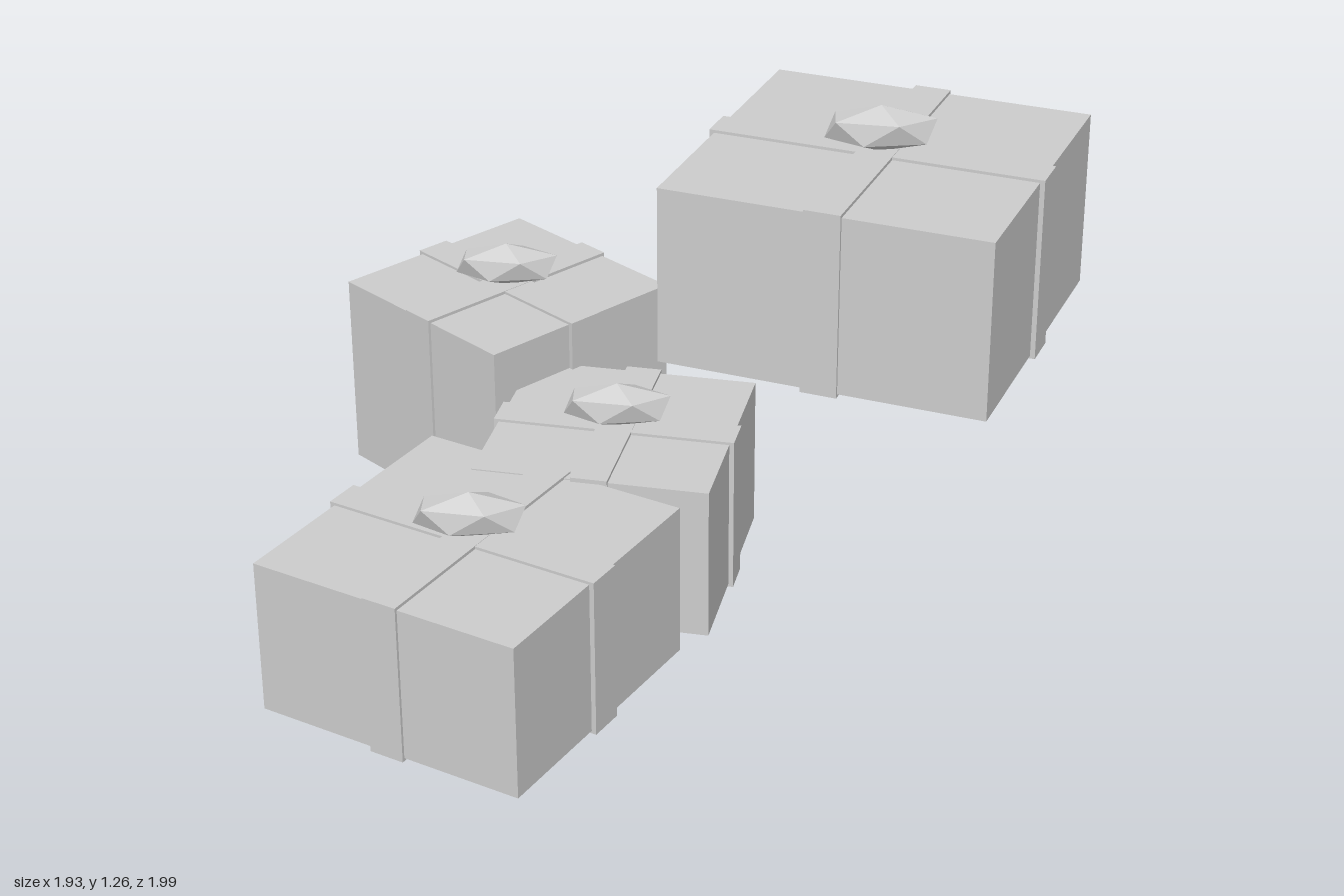
import * as THREE from 'three';

const gray = new THREE.MeshStandardMaterial({ color: 0xcccccc });
gray.name = 'light gray';

// Footprint centre, square size, bottom and top of the box, turn in degrees
const gifts = [
  { name: 'frontGift', x: -0.488, z: 0.511, size: 0.708, y0: 0.008, y1: 0.401, turn: 28.4 },
  { name: 'middleGift', x: -0.178, z: -0.036, size: 0.584, y0: 0.008, y1: 0.404, turn: 10.1 },
  { name: 'backGift', x: -0.497, z: -0.579, size: 0.591, y0: 0.01, y1: 0.528, turn: 44.4 },
  { name: 'raisedGift', x: 0.45, z: -0.048, size: 0.806, y0: 0.698, y1: 1.143, turn: 20 },
];

function addBox(parent, name, w, h, d) {
  const mesh = new THREE.Mesh(new THREE.BoxGeometry(w, h, d), gray);
  mesh.name = name;
  parent.add(mesh);
}

// Faceted bow: an icosahedron standing on one corner, stretched sideways
function makeBow() {
  const geometry = new THREE.IcosahedronGeometry(1, 0);
  geometry.rotateZ(-Math.atan2(1, (1 + Math.sqrt(5)) / 2));
  geometry.scale(0.148, 0.058, 0.067);
  geometry.computeVertexNormals();
  const bow = new THREE.Mesh(geometry, gray);
  bow.name = 'bow';
  return bow;
}

function makeGift({ name, x, z, size, y0, y1, turn }) {
  const gift = new THREE.Group();
  gift.name = name;
  gift.position.set(x, 0, z);

  // Box wrapped by two crossing ribbons
  const wrapped = new THREE.Group();
  wrapped.name = 'wrappedBox';
  wrapped.position.y = (y0 + y1) / 2;
  wrapped.rotation.y = -THREE.MathUtils.degToRad(turn);
  const h = y1 - y0;
  addBox(wrapped, 'box', size, h, size);
  addBox(wrapped, 'ribbonAcross', size + 0.024, h + 0.014, 0.092);
  addBox(wrapped, 'ribbonAlong', 0.09, h + 0.016, size + 0.014);
  gift.add(wrapped);

  // The bow keeps facing the front
  const bow = makeBow();
  bow.position.y = y1 + 0.057;
  gift.add(bow);
  return gift;
}

export function createModel() {
  const model = new THREE.Group();
  model.name = 'giftBoxes';
  for (const g of gifts) model.add(makeGift(g));
  return model;
}
